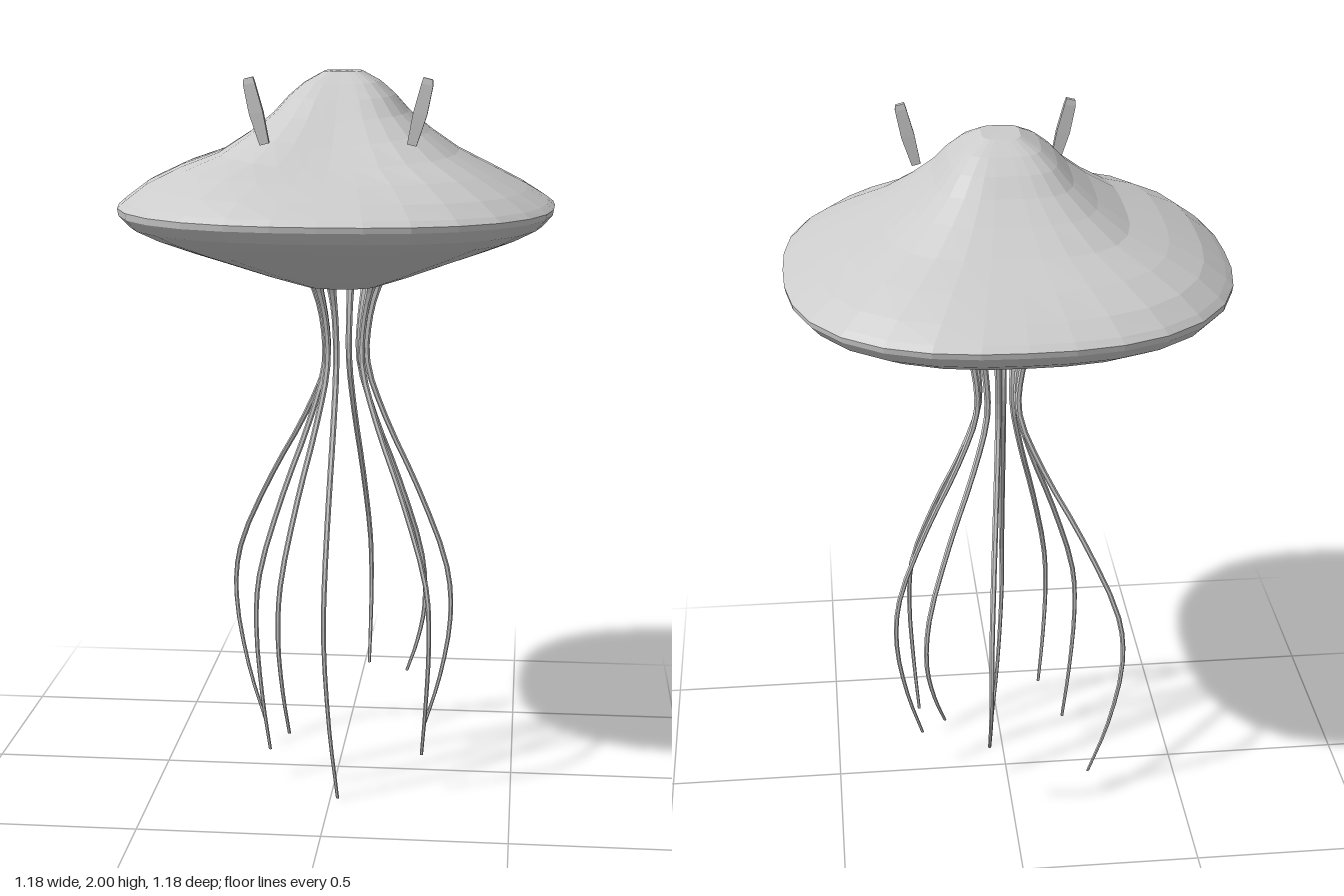
import * as THREE from 'three';

const material = new THREE.MeshStandardMaterial({ color: 0xcccccc, flatShading: true });

// Closed skin over rings of [x, y, z] points, listed from top to bottom
function loft(name, rings) {
  const n = rings[0].length;
  const points = rings.flat();
  const index = [];
  for (let i = 0; i < rings.length - 1; i++) {
    for (let j = 0; j < n; j++) {
      const a = i * n + j, b = i * n + (j + 1) % n;
      index.push(a, b, a + n, b, b + n, a + n);
    }
  }
  const centre = ring => [0, 1, 2].map(k => ring.reduce((s, p) => s + p[k], 0) / n);
  const last = (rings.length - 1) * n;
  const top = points.push(centre(rings[0])) - 1;
  const bottom = points.push(centre(rings[rings.length - 1])) - 1;
  for (let j = 0; j < n; j++) {
    const k = (j + 1) % n;
    index.push(top, k, j, bottom, last + j, last + k);
  }
  const geometry = new THREE.BufferGeometry();
  geometry.setAttribute('position', new THREE.Float32BufferAttribute(points.flat(), 3));
  geometry.setIndex(index);
  geometry.computeVertexNormals();
  const mesh = new THREE.Mesh(geometry, material);
  mesh.name = name;
  return mesh;
}

const bell = (v, mid, width) => Math.exp(-(((v - mid) / width) ** 2));

// Rounded-square bell: domed crown, thin rim, shallow underside
function createBell() {
  const upper = [[0.05, 1.998], [0.1, 1.97], [0.14, 1.935], [0.18, 1.89], [0.24, 1.84],
    [0.32, 1.785], [0.42, 1.735], [0.51, 1.69], [0.57, 1.655], [0.59, 1.64]];
  const lower = [[0.587, 1.625], [0.56, 1.595], [0.5, 1.565], [0.41, 1.53], [0.32, 1.497],
    [0.21, 1.455], [0.11, 1.42], [0.05, 1.42]];
  const ring = ([r, y], isUpper) => {
    const inner = 1 - r / 0.59;
    const power = 2.56 + (isUpper ? 1.6 * inner : 0);
    return Array.from({ length: 32 }, (_, j) => {
      const t = j / 32 * Math.PI * 2, c = Math.cos(t), s = Math.sin(t);
      const d = r * (Math.abs(c) ** power + Math.abs(s) ** power) ** (-1 / power);
      const x = c * d + 0.015 * inner, z = s * d * (1 + 0.2 * inner);
      let h = y;
      if (isUpper) {
        h -= 0.03 * Math.max(0, s) ** 4 * bell(r, 0.27, 0.12); // hollow under the brow
        h += 0.022 * Math.max(0, -c) ** 2 * bell(r, 0.47, 0.1); // swollen right side
      }
      return [x, h, z];
    });
  };
  return loft('bell', [...upper.map(p => ring(p, true)), ...lower.map(p => ring(p, false))]);
}

// Thin tapering tentacle: waist, widest point and tip given in x and z
function createTentacle([waist, bulge, tip, tipY]) {
  const mix = (a, b, t) => [a[0] + (b[0] - a[0]) * t, a[1] + (b[1] - a[1]) * t];
  const at = ([x, z], y) => new THREE.Vector3(x, y, z);
  const root = [0.02 + (waist[0] - 0.02) * 1.6, waist[1] * 1.5];
  const path = new THREE.CatmullRomCurve3([
    at(root, 1.44), at(mix(root, waist, 0.8), 1.33), at(waist, 1.2),
    at(mix(waist, bulge, 0.22), 1.04), at(mix(waist, bulge, 0.6), 0.84),
    at(mix(waist, bulge, 0.95), 0.61), at(bulge, 0.46),
    at(mix(bulge, tip, 0.4), 0.46 + (tipY - 0.46) * 0.55), at(tip, tipY)]);
  const rings = path.getPoints(24).map((p, i) => {
    const r = 0.009 - 0.0045 * (i / 24) ** 2 + 0.009 * Math.exp(-i * 1.2);
    return Array.from({ length: 6 }, (_, j) => {
      const t = j / 6 * Math.PI * 2;
      return [p.x + r * Math.cos(t), p.y, p.z + r * Math.sin(t)];
    });
  });
  return loft('tentacle', rings);
}

// Flat stalk leaning outwards, widest in the middle
function createStalk(side) {
  const rings = [[1.99, 0.232, 0.012, 0.007], [1.975, 0.23, 0.015, 0.009],
    [1.9, 0.212, 0.018, 0.01], [1.82, 0.191, 0.012, 0.009]].map(([y, x, w, d]) =>
    [[1, -1], [1, 1], [-1, 1], [-1, -1]].map(([i, k]) =>
      [0.026 + side * x + i * w, y - side * i * 0.003, 0.284 + k * d]));
  return loft(side > 0 ? 'leftEyeStalk' : 'rightEyeStalk', rings);
}

export function createModel() {
  const model = new THREE.Group();
  model.name = 'jellyfish';
  model.add(createBell(), createStalk(1), createStalk(-1));

  const tentacles = new THREE.Group();
  tentacles.name = 'tentacles';
  // waist, widest point, tip, tip height
  const paths = [
    [[-0.035, -0.03], [-0.32, -0.175], [-0.23, -0.15], 0.07],
    [[-0.035, 0.03], [-0.22, 0.125], [-0.185, 0.11], 0.09],
    [[-0.025, 0.06], [-0.145, 0.235], [-0.12, 0.19], 0.17],
    [[0, 0.065], [-0.015, 0.27], [0.02, 0.235], 0],
    [[0.025, -0.05], [0.07, -0.315], [0.07, -0.24], 0.24],
    [[0.055, -0.04], [0.24, -0.14], [0.19, -0.12], 0.26],
    [[0.07, 0.05], [0.27, 0.21], [0.25, 0.165], 0.11],
    [[0.08, -0.005], [0.32, -0.015], [0.25, -0.005], 0.14]];
  for (const p of paths) tentacles.add(createTentacle(p));
  model.add(tentacles);
  return model;
}
